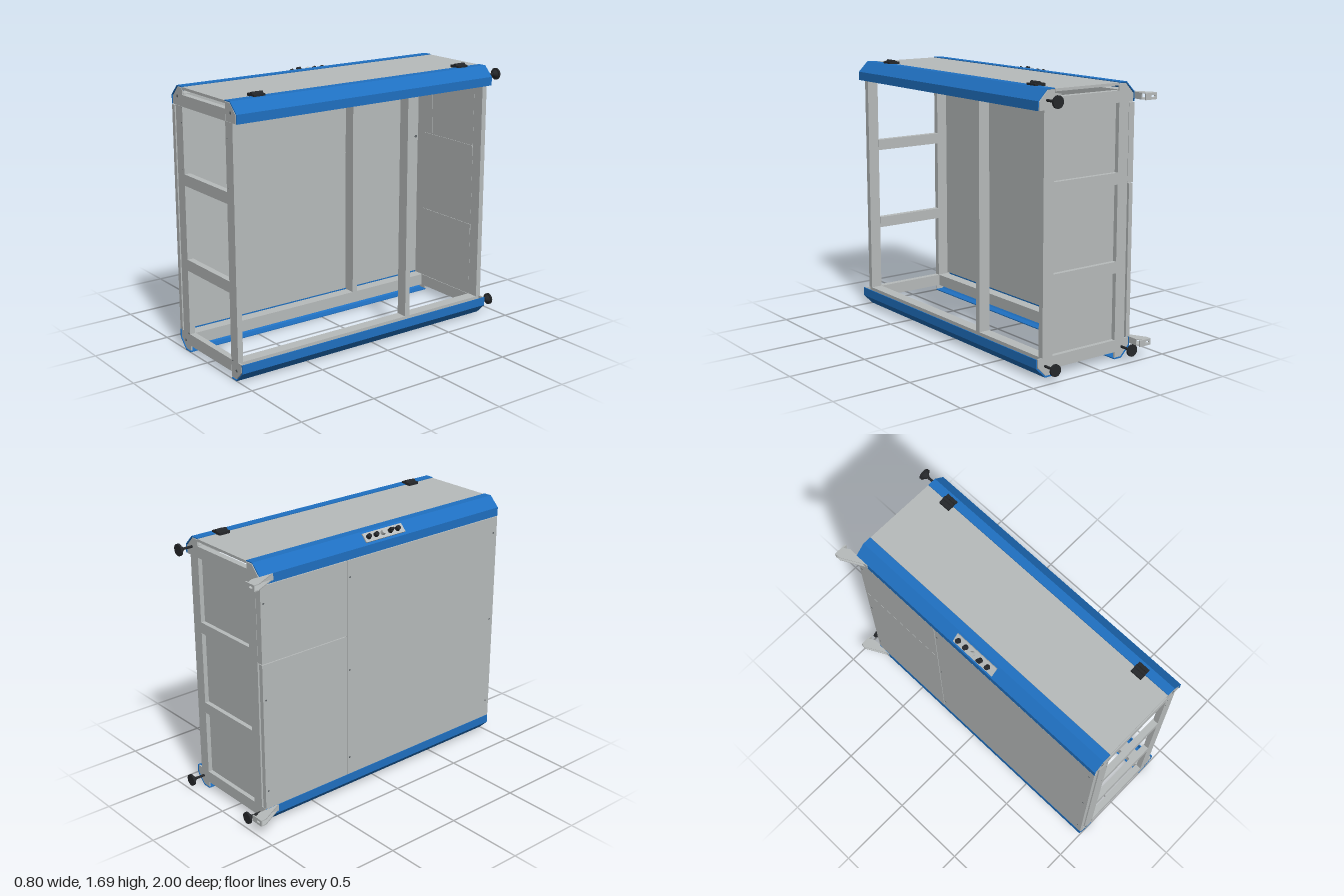
import * as THREE from 'three';

const mat = (name, color) => {
  const m = new THREE.MeshStandardMaterial({ color });
  m.name = name;
  return m;
};

export function createModel() {
  const root = new THREE.Group();
  root.name = 'cabinetFrame';
  const grey = mat('steelGrey', 0xb7bbbb);
  const blue = mat('trimBlue', 0x1f70c1);
  const black = mat('rubberBlack', 0x25272a);
  const dark = mat('screwGrey', 0x62686b);

  const add = (name, geo, m, parent = root) => {
    const mesh = new THREE.Mesh(geo, m);
    mesh.name = name;
    parent.add(mesh);
    return mesh;
  };
  // Box given by its limits on each axis
  const box = (name, x0, x1, y0, y1, z0, z1, m = grey, parent = root) => {
    const mesh = add(name, new THREE.BoxGeometry(Math.abs(x1 - x0), Math.abs(y1 - y0), Math.abs(z1 - z0)), m, parent);
    mesh.position.set((x0 + x1) / 2, (y0 + y1) / 2, (z0 + z1) / 2);
    return mesh;
  };
  const extrude = (pts, depth, holes = []) => {
    const s = new THREE.Shape(pts.map(([x, y]) => new THREE.Vector2(x, y)));
    s.holes.push(...holes);
    return new THREE.ExtrudeGeometry(s, { depth, bevelEnabled: false });
  };
  // Round part with its axis along z
  const roundZ = (name, rBack, rFront, x, y, z0, z1, m, sides = 20) => {
    const g = new THREE.CylinderGeometry(rFront, rBack, z1 - z0, sides).rotateX(Math.PI / 2);
    add(name, g, m).position.set(x, y, (z0 + z1) / 2);
  };

  // Four long edges: blue chamfered cover, square beam and end caps
  const cover = [[0, .12], [.055, .12], [.12, .055], [.12, 0], [.114, 0], [.114, .0525], [.0525, .114], [0, .114]];
  const cap = [[0, 0], [.108, 0], [.108, .049], [.049, .11], [0, .11]];
  const sides = [[.28, 1], [-.2, -1]];
  for (const [x, dx] of sides) {
    for (const [y, dy] of [[1.55, 1], [.12, -1]]) {
      const place = (pts) => pts.map(([u, v]) => [x + dx * u, y + dy * v]);
      add('edgeCover', extrude(place(cover), 1.9), blue).position.z = -.9;
      box('edgeBeam', x, x + dx * .075, y, y + dy * .075, -.89, .985);
      for (const z of [-.9, .988]) add('endCap', extrude(place(cap), .01), grey).position.z = z;
      roundZ('capBolt', .009, .009, x + dx * .055, y + dy * .055, .998, 1, dark, 10);
    }
    // Upright posts
    for (const z of [.965, -.29, -.9]) box('post', x, x + dx * .075, .12, 1.55, z, z + .035);
    for (const y of [.12, 1.16, 1.45, 1.54]) {
      roundZ('postScrew', .006, .006, x + dx * .015, y, .998, 1, dark, 8);
    }
  }

  // Cross bars on both ends
  for (const z of [.96, -.9]) {
    for (const [y0, y1] of [[.045, .12], [.535, .605], [1.07, 1.14], [1.55, 1.62]]) {
      box('crossBar', -.2, .28, y0, y1, z, z + .04);
    }
  }

  // Closed faces: lid, back and right side
  box('topPanel', -.198, .278, 1.65, 1.666, -.9, .997);
  box('backPanel', -.2, .28, .12, 1.55, -.872, -.864);
  box('backPanelFold', -.128, -.123, 1.14, 1.55, -.864, -.861);
  box('sidePanelFront', -.319, -.29, .122, 1.545, -.262, 1);
  box('sidePanelRear', -.319, -.29, .122, 1.066, -.9, -.267);
  box('sideHatch', -.319, -.278, 1.071, 1.545, -.9, -.267);
  box('hatchInnerPlate', -.278, -.272, 1.07, 1.54, -.865, -.292);
  for (const y of [1.1, 1.52]) {
    for (const z of [-.31, -.845]) {
      const g = new THREE.CylinderGeometry(.01, .01, .004, 10).rotateZ(Math.PI / 2);
      add('hatchScrew', g, dark).position.set(-.271, y, z);
    }
  }
  // Small screws along the outside of the side panels
  for (const y of [.24, .84, 1.44]) {
    for (const z of [-.245, -.88, .97]) {
      const g = new THREE.CylinderGeometry(.006, .006, .004, 8).rotateZ(Math.PI / 2);
      add('panelScrew', g, dark).position.set(-.319, y, z);
    }
  }

  // Lid hinges
  for (const z of [-.73, .79]) {
    box('hingeLeaf', .24, .315, 1.666, 1.682, z - .038, z + .038, black);
    const g = new THREE.CylinderGeometry(.013, .013, .076, 14).rotateX(Math.PI / 2);
    add('hingeBarrel', g, black).position.set(.28, 1.681, z);
  }

  // Button strip on the right upper chamfer
  const strip = new THREE.Group();
  strip.name = 'buttonStrip';
  strip.position.set(-.2875, 1.6375, .045);
  strip.rotation.z = Math.PI / 4;
  root.add(strip);
  box('buttonPlate', -.03, .03, 0, .008, -.155, .155, grey, strip);
  [-.125, -.067, -.012, .047, .105].forEach((z, i) => {
    const button = add('button', new THREE.CylinderGeometry(.014, .016, .024, 16), i === 2 ? grey : black, strip);
    button.position.set(0, .018, z);
  });
  box('selectorKnob', -.006, .006, .028, .042, .032, .062, black, strip);

  // Levelling feet pointing backwards
  for (const [x, y] of [[.335, 1.605], [.335, .07], [-.255, .07]]) {
    roundZ('footStem', .008, .008, x, y, -.98, -.82, black, 10);
    roundZ('footCone', .03, .012, x, y, -.988, -.965, black);
    roundZ('footDisc', .037, .037, x, y, -1, -.987, black);
  }

  // Wall brackets at the right rear corner: slotted plate with gussets
  const slot = new THREE.Path();
  slot.absellipse(-.372, .02, .016, .007, 0, Math.PI * 2);
  for (const y of [1.565, .08]) {
    const b = new THREE.Group();
    b.name = 'wallBracket';
    b.position.y = y;
    root.add(b);
    const plate = extrude([[-.4, 0], [-.315, 0], [-.315, .04], [-.4, .04]], .008, [slot]);
    add('bracketPlate', plate, grey, b).position.z = -1;
    for (const h of [0, .034]) {
      const g = extrude([[-.4, 1], [-.345, 1], [-.318, .955], [-.318, .81], [-.4, .965]], .006);
      add('bracketGusset', g.rotateX(-Math.PI / 2), grey, b).position.y = h;
    }
    box('bracketFoot', -.325, -.318, 0, .04, -.96, -.81, grey, b);
  }
  return root;
}
